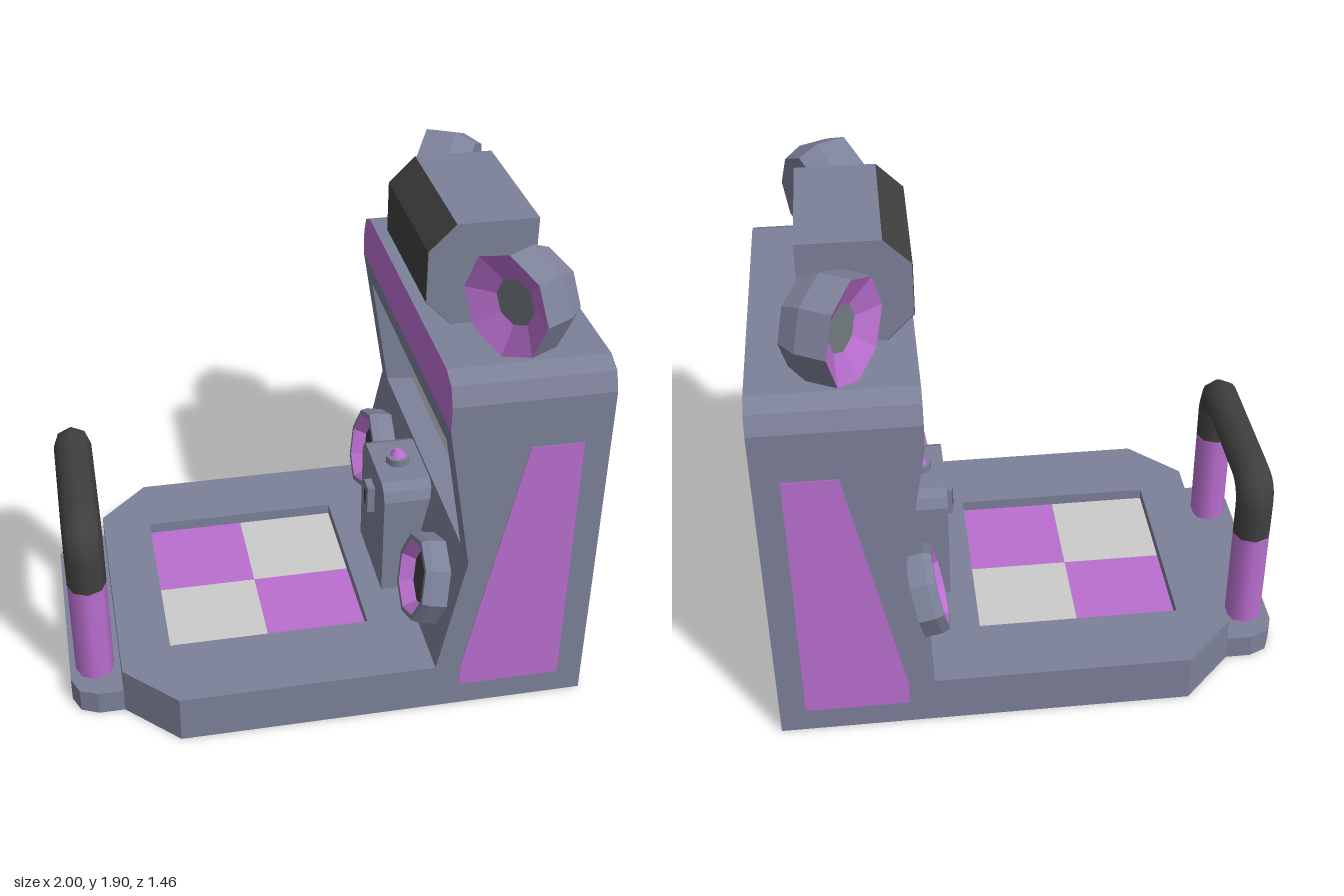
import * as THREE from 'three';

const mat = (name, color) => {
  const m = new THREE.MeshStandardMaterial({ color, side: THREE.DoubleSide });
  m.name = name;
  return m;
};

export function createModel() {
  const body = mat('slateGrey', 0x7d8199);
  const pink = mat('orchid', 0xba6fd0);
  const dark = mat('charcoal', 0x404040);
  const light = mat('lightGrey', 0xcccccc);
  const mid = mat('coneGrey', 0x757d82);
  const model = new THREE.Group();

  const add = (name, geo, material, parent = model) => {
    const mesh = new THREE.Mesh(geo, material);
    mesh.name = name;
    parent.add(mesh);
    return mesh;
  };
  const box = (name, x0, x1, y0, y1, z0, z1, material) =>
    add(name, new THREE.BoxGeometry(x1 - x0, y1 - y0, z1 - z0), material)
      .position.set((x0 + x1) / 2, (y0 + y1) / 2, (z0 + z1) / 2);
  const shape = (pts) => new THREE.Shape(pts.map(([a, b]) => new THREE.Vector2(a, b)));
  const extrude = (s, depth) => new THREE.ExtrudeGeometry(s, { depth, bevelEnabled: false });
  // plan outline (x, -z) raised from y0 to y1
  const slab = (name, s, y0, y1) =>
    add(name, extrude(s, y1 - y0).rotateX(-Math.PI / 2).translate(0, y0, 0), body);
  // flat-shaded surface from a list of four-cornered faces
  const faces = (quads) => {
    const pos = quads.flatMap(([a, b, c, d]) => [a, b, c, a, c, d].flat());
    const g = new THREE.BufferGeometry();
    g.setAttribute('position', new THREE.Float32BufferAttribute(pos, 3));
    g.computeVertexNormals();
    return g;
  };

  // Cabinet: rows of [y, front x, half width]
  const rows = [[0, 0.4, 0.7], [0.2, 0.4, 0.7], [0.7, 0.5, 0.7], [1.3, 0.4, 0.7],
    [1.4, 0.4, 0.7], [1.47, 0.4, 0.67], [1.5, 0.4, 0.6]];
  const shell = [], header = [];
  for (let i = 0; i < rows.length - 1; i++) {
    const [y0, x0, w0] = rows[i], [y1, x1, w1] = rows[i + 1];
    shell.push([[x0, y0, w0], [1, y0, w0], [1, y1, w1], [x1, y1, w1]]);
    shell.push([[1, y0, -w0], [x0, y0, -w0], [x1, y1, -w1], [1, y1, -w1]]);
    shell.push([[1, y0, w0], [1, y0, -w0], [1, y1, -w1], [1, y1, w1]]);
    if (i !== 2) {
      (i > 2 ? header : shell).push([[x0, y0, -w0], [x0, y0, w0], [x1, y1, w1], [x1, y1, -w1]]);
    }
  }
  shell.push([[0.4, 1.5, 0.6], [1, 1.5, 0.6], [1, 1.5, -0.6], [0.4, 1.5, -0.6]]);
  shell.push([[0.4, 0, -0.7], [1, 0, -0.7], [1, 0, 0.7], [0.4, 0, 0.7]]);

  // Screen frame and the recess walls behind it
  const ring = (x0, y0, x1, y1, w) => [[x0, y0, -w], [x0, y0, w], [x1, y1, w], [x1, y1, -w]];
  const loops = [ring(0.5, 0.7, 0.4, 1.3, 0.7), ring(0.497, 0.72, 0.417, 1.2, 0.6),
    ring(0.61, 0.71, 0.61, 1.2, 0.6)];
  for (let k = 0; k < 2; k++) {
    for (let j = 0; j < 4; j++) {
      const n = (j + 1) % 4;
      shell.push([loops[k][j], loops[k][n], loops[k + 1][n], loops[k + 1][j]]);
    }
  }
  add('cabinet', faces(shell), body);
  add('headerPanel', faces(header), pink);
  add('screen', faces([loops[2]]), light);

  // Painted side panels
  const sidePanel = extrude(shape([[0.5, 0.1], [0.9, 0.1], [0.9, 1.2], [0.7, 1.2], [0.5, 0.2]]), 0.004);
  for (const z of [0.699, -0.703]) add('sidePanel', sidePanel, pink).position.z = z;

  // Stage with a sunken floor of four pads
  const outline = [[0.4, -0.7], [0.4, 0.7], [-0.6, 0.7], [-0.8, 0.5], [-0.8, -0.5], [-0.6, -0.7]];
  slab('stageBase', shape(outline), 0, 0.15);
  const rim = shape(outline);
  rim.holes.push(new THREE.Path(
    [[-0.6, -0.385], [-0.6, 0.415], [0.2, 0.415], [0.2, -0.385]].map(([a, b]) => new THREE.Vector2(a, b))));
  slab('stageRim', rim, 0.15, 0.2);
  for (let i = 0; i < 2; i++) {
    for (let j = 0; j < 2; j++) {
      const x = -0.6 + i * 0.4, z = -0.415 + j * 0.4;
      box('dancePad', x, x + 0.4, 0.149, 0.154, z, z + 0.4, i === j ? pink : light);
    }
  }

  // Step and hand rail
  slab('railStep', shape([[-0.8, -0.5], [-0.8, 0.5], [-0.9, 0.5], [-0.97, 0.47], [-1, 0.4],
    [-1, -0.4], [-0.97, -0.47], [-0.9, -0.5]]), 0, 0.1);
  const p = (y, z) => new THREE.Vector3(-0.9, y, z);
  const rail = new THREE.CurvePath();
  rail.add(new THREE.LineCurve3(p(0.525, 0.337), p(0.655, 0.337)));
  rail.add(new THREE.QuadraticBezierCurve3(p(0.655, 0.337), p(0.755, 0.337), p(0.755, 0.237)));
  rail.add(new THREE.LineCurve3(p(0.755, 0.237), p(0.755, -0.237)));
  rail.add(new THREE.QuadraticBezierCurve3(p(0.755, -0.237), p(0.755, -0.337), p(0.655, -0.337)));
  rail.add(new THREE.LineCurve3(p(0.655, -0.337), p(0.525, -0.337)));
  add('railGrip', new THREE.TubeGeometry(rail, 40, 0.076, 8), dark);
  const post = new THREE.CylinderGeometry(0.076, 0.076, 0.425, 8);
  for (const z of [0.337, -0.337]) add('railPost', post, pink).position.set(-0.9, 0.3125, z);

  // Coin box with slot and start button
  const coin = extrude(shape([[-0.2, 0.2], [0.2, 0.2], [0.2, 0.64], [0.18, 0.68], [0.14, 0.7],
    [-0.14, 0.7], [-0.18, 0.68], [-0.2, 0.64]]), 0.2).rotateY(Math.PI / 2).translate(0.3, 0, 0);
  add('coinBox', coin, body);
  box('coinPlate', 0.27, 0.3, 0.48, 0.6, -0.035, 0.035, body);
  box('coinSlot', 0.266, 0.272, 0.505, 0.575, -0.012, 0.012, dark);
  add('buttonBase', new THREE.CylinderGeometry(0.05, 0.05, 0.03, 8), body).position.set(0.4, 0.715, 0);
  add('button', new THREE.CylinderGeometry(0.015, 0.035, 0.025, 8), pink).position.set(0.4, 0.7425, 0);

  // Marquee box with a dark wrapped front
  const marquee = [[0.8, 1.5], [0.8, 1.9], [0.5, 1.9], [0.4, 1.8], [0.4, 1.6], [0.5, 1.5]];
  add('marqueeBox', extrude(shape(marquee), 0.6).translate(0, 0, -0.3), body);
  const wrap = [[0.5, 1.9], [0.4, 1.8], [0.4, 1.6], [0.5, 1.5]].map(([x, y]) => [x - 0.002, y]);
  add('marqueeFront', faces([0, 1, 2].map((i) => {
    const a = wrap[i], b = wrap[i + 1];
    return [[...a, -0.3], [...b, -0.3], [...b, 0.3], [...a, 0.3]];
  })), dark);

  // Eight-sided speakers: profiles are [radius, distance along the facing axis]
  const turned = (pts) => {
    const g = new THREE.LatheGeometry(pts.map(([r, d]) => new THREE.Vector2(r, d)), 8)
      .rotateX(Math.PI / 2).toNonIndexed();
    g.computeVertexNormals();
    return g;
  };
  const speaker = (name, at, dir, shellPts, hornPts, coneMat) => {
    const g = new THREE.Group();
    g.name = name;
    g.position.set(...at);
    g.lookAt(at[0] + dir[0], at[1] + dir[1], at[2] + dir[2]);
    add('speakerShell', turned(shellPts), body, g);
    add('speakerHorn', turned(hornPts), pink, g);
    const [r, d] = hornPts[hornPts.length - 1];
    add('speakerCone', turned([[r, d], [0, d]]), coneMat, g);
    model.add(g);
  };
  for (const s of [1, -1]) {
    speaker('topSpeaker', [0.61, 1.7, s * 0.556], [-0.868, 0, s * 0.495],
      [[0, -0.2], [0.165, -0.2], [0.2, -0.12], [0.198, 0]], [[0.198, 0], [0.09, -0.05]], mid);
    speaker('lowerSpeaker', [0.353, 0.465, s * 0.455], [-0.98, 0.196, 0],
      [[0.18, -0.14], [0.18, -0.03], [0.17, 0], [0.15, 0]], [[0.15, 0], [0.115, -0.05]], dark);
  }
  return model;
}
